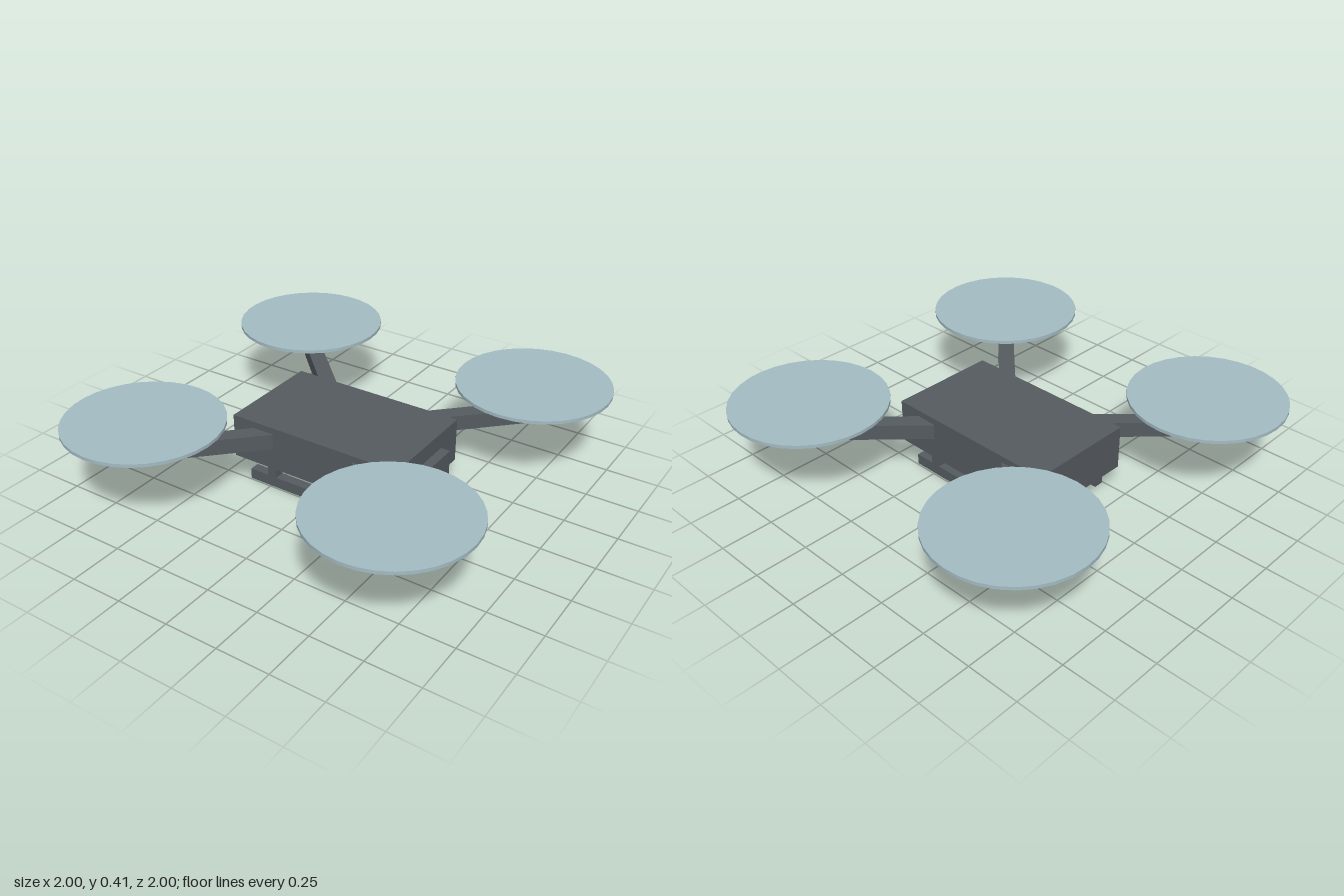
import * as THREE from 'three';

export function createModel() {
  const model = new THREE.Group();
  model.name = 'quadcopter';
  const dark = new THREE.MeshStandardMaterial({ color: 0x555b60 });
  const pale = new THREE.MeshStandardMaterial({ color: 0xa4bcc4 });

  function add(name, geometry, x, y, z, material = dark) {
    const mesh = new THREE.Mesh(geometry, material);
    mesh.name = name;
    mesh.position.set(x, y, z);
    model.add(mesh);
    return mesh;
  }

  // Central body and the sensor housing on its nose (+x)
  add('body', new THREE.BoxGeometry(0.872, 0.214, 0.53), 0, 0.222, 0);
  add('sensorHousing', new THREE.BoxGeometry(0.192, 0.146, 0.244), 0.386, 0.177, 0);

  // Four diagonal arms, each with a motor and a rotor disc
  const arm = new THREE.BoxGeometry(0.54, 0.075, 0.078);
  const motor = new THREE.CylinderGeometry(0.067, 0.067, 0.123, 24);
  const rotor = new THREE.CylinderGeometry(0.365, 0.365, 0.016, 32);
  for (const sx of [-1, 1]) {
    for (const sz of [-1, 1]) {
      add('arm', arm, sx * 0.431, 0.26, sz * 0.431).rotation.y = -sx * sz * Math.PI / 4;
      add('motor', motor, sx * 0.635, 0.337, sz * 0.635);
      add('rotorDisc', rotor, sx * 0.635, 0.406, sz * 0.635, pale);
    }
  }

  // Landing skids on short posts
  const skid = new THREE.BoxGeometry(0.732, 0.052, 0.048);
  const post = new THREE.BoxGeometry(0.046, 0.075, 0.048);
  for (const sz of [-1, 1]) {
    add('skid', skid, 0, 0.026, sz * 0.219);
    for (const sx of [-1, 1]) add('skidPost', post, sx * 0.243, 0.085, sz * 0.219);
  }

  return model;
}
